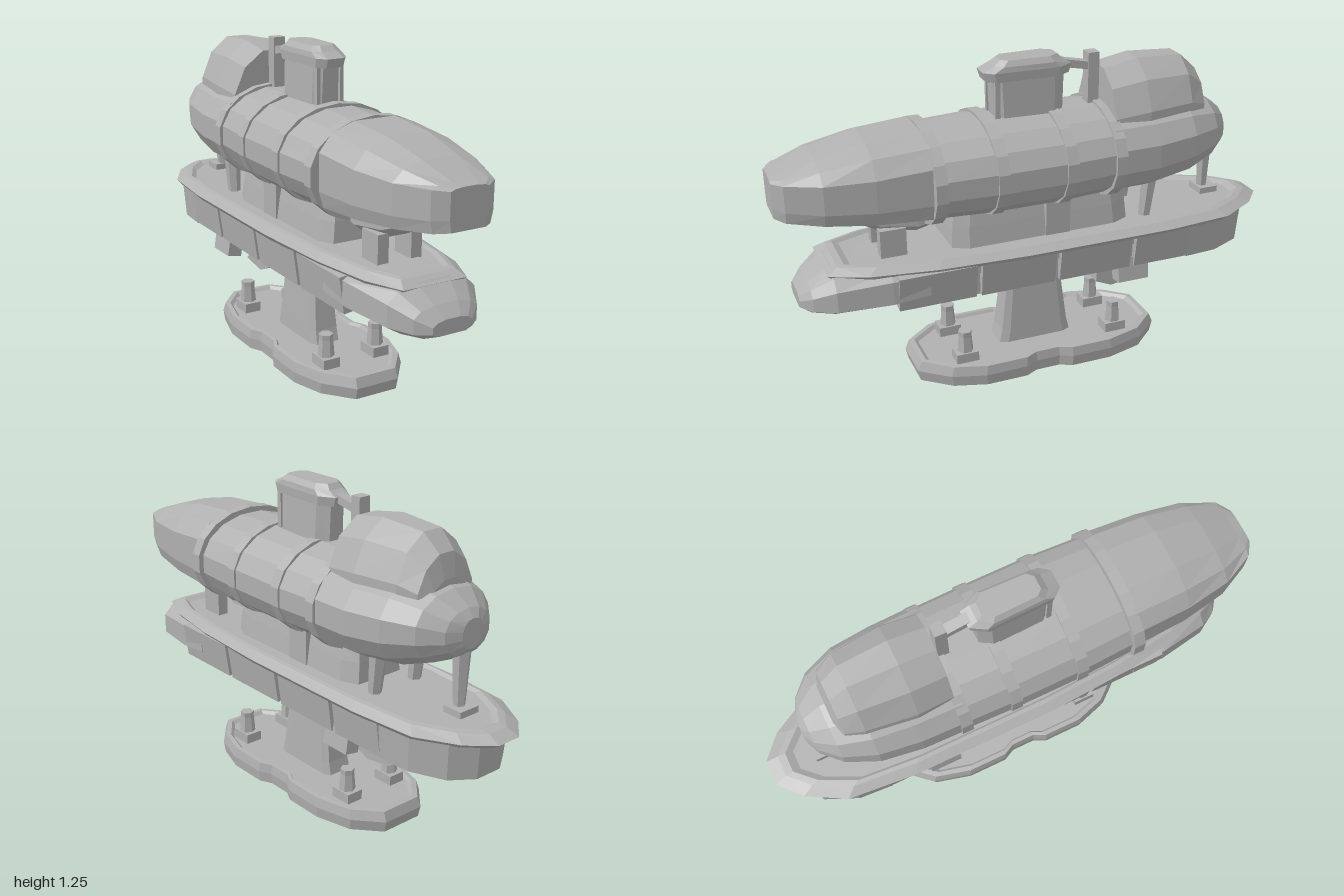
import * as THREE from 'three';

const grey = new THREE.MeshStandardMaterial({ color: 0xb0b0b0, flatShading: true });
grey.name = 'plain grey';

// Skin a series of equal-length rings and close both ends
function loft(rings) {
  const pos = [];
  const n = rings[0].length;
  const tri = (...pts) => pts.forEach((p) => pos.push(...p));
  const centre = (r) => [0, 1, 2].map((k) => r.reduce((s, p) => s + p[k], 0) / n);
  const first = rings[0], last = rings[rings.length - 1];
  for (let j = 0; j < n; j++) {
    const k = (j + 1) % n;
    for (let i = 0; i + 1 < rings.length; i++) {
      const a = rings[i], b = rings[i + 1];
      tri(a[j], b[j], b[k]);
      tri(a[j], b[k], a[k]);
    }
    tri(centre(first), first[j], first[k]);
    tri(centre(last), last[k], last[j]);
  }
  const g = new THREE.BufferGeometry();
  g.setAttribute('position', new THREE.Float32BufferAttribute(pos, 3));
  g.computeVertexNormals();
  return g;
}

// Rounded cross-sections [z, half width, bottom, top], front to back
function hull(sections, sides = 14, power = 2.2) {
  return loft(sections.map(([z, w, y0, y1]) =>
    Array.from({ length: sides }, (_, i) => {
      const a = ((i + 0.5) / sides) * Math.PI * 2;
      const c = Math.cos(a), s = Math.sin(a);
      const f = (v) => Math.sign(v) * Math.abs(v) ** (2 / power);
      return [w * f(c), (y0 + y1) / 2 + ((y1 - y0) / 2) * f(s), z];
    })));
}

// Slab-sided cross-sections [z, half width, bottom, wall top, roof top], front to back
function slabHull(sections, bottomScale) {
  return loft(sections.map(([z, w, y0, wall, top]) => {
    const half = [
      [w * bottomScale, y0], [w, y0 + (wall - y0) * 0.3], [w, wall],
      [w * 0.78, wall + (top - wall) * 0.65], [w * 0.38, top]];
    return [...half.map(([x, y]) => [x, y, z]), ...half.reverse().map(([x, y]) => [-x, y, z])];
  }));
}

// Mirrored plan outline [z, half width] stacked at levels [y, x scale, z scale], top to bottom
function stack(outline, levels) {
  const plan = [...outline.map(([z, w]) => [w, z]), ...outline.map(([z, w]) => [-w, z]).reverse()];
  return loft(levels.map(([y, sx, sz = sx]) => plan.map(([x, z]) => [x * sx, y, z * sz])));
}

export function createModel() {
  const model = new THREE.Group();
  model.name = 'submarineOnStand';
  const add = (name, geometry, x = 0, y = 0, z = 0) => {
    const m = new THREE.Mesh(geometry, grey);
    m.name = name;
    m.position.set(x, y, z);
    model.add(m);
    return m;
  };
  const box = (name, w, h, d, x, y, z) => add(name, new THREE.BoxGeometry(w, h, d), x, y, z);

  // Upper vessel: slab-sided nose, round middle, bulbous tail
  add('nose', slabHull([
    [1.0, 0.075, 0.79, 0.925, 0.935], [0.965, 0.125, 0.785, 0.93, 0.945], [0.84, 0.185, 0.775, 0.93, 0.99],
    [0.66, 0.215, 0.76, 0.935, 1.03], [0.45, 0.225, 0.75, 0.95, 1.045]], 0.92));
  add('neck', hull([[0.47, 0.2, 0.74, 1.01], [0.38, 0.21, 0.71, 1.02]]));
  add('midBody', hull([
    [0.41, 0.245, 0.69, 1.035], [0.2, 0.255, 0.68, 1.045],
    [-0.08, 0.255, 0.68, 1.045], [-0.28, 0.25, 0.69, 1.045]], 16, 2.1));
  add('tailBody', hull([
    [-0.26, 0.255, 0.69, 1.05], [-0.44, 0.25, 0.69, 1.05], [-0.6, 0.23, 0.715, 1.05],
    [-0.72, 0.18, 0.76, 1.02], [-0.79, 0.11, 0.8, 0.97], [-0.815, 0.05, 0.83, 0.94]]));
  add('tailHump', hull([
    [-0.28, 0.18, 0.72, 1.19], [-0.42, 0.19, 0.72, 1.215], [-0.61, 0.165, 0.75, 1.205],
    [-0.68, 0.135, 0.8, 1.14], [-0.7, 0.1, 0.84, 1.05]], 12, 2));

  // Bands around the hull
  for (const z of [0.435, 0.2, -0.07, -0.27])
    add('hullBand', hull([[z + 0.022, 0.262, 0.672, 1.055], [z - 0.022, 0.262, 0.672, 1.055]], 18, 2.1));

  // Conning tower
  const towerPlan = [[0.17, 0.03], [0.14, 0.055], [-0.08, 0.06], [-0.13, 0.03]];
  add('tower', stack(towerPlan, [[1.2, 1, 0.95], [1.02, 1.1, 0.9]]));
  add('towerCap', stack(towerPlan, [[1.255, 0.85, 0.75], [1.235, 1.1, 0.9], [1.215, 1.15, 1.17], [1.18, 1.1, 1.1]]));
  for (const s of [-1, 1]) box('towerRail', 0.015, 0.16, 0.02, s * 0.05, 1.12, 0.15);
  box('rearMast', 0.05, 0.2, 0.045, 0, 1.14, -0.25);
  const brace = box('mastBrace', 0.04, 0.03, 0.15, 0, 1.2, -0.18);
  brace.rotation.x = -0.2;

  // Supports between vessel and deck
  add('cradle', stack([[0.36, 0.1], [0.3, 0.13], [-0.3, 0.13], [-0.37, 0.1]],
    [[0.72, 0.85, 0.95], [0.65, 0.95, 0.98], [0.56, 1.05, 1.0]]));
  add('noseKeel', hull([
    [0.78, 0.04, 0.74, 0.79], [0.62, 0.08, 0.66, 0.8], [0.48, 0.1, 0.64, 0.8], [0.4, 0.1, 0.66, 0.8]], 8, 3));
  box('sideSaddle', 0.28, 0.16, 0.1, 0, 0.65, -0.06);
  for (const s of [-1, 1]) {
    box('frontPost', 0.045, 0.12, 0.1, s * 0.07, 0.62, 0.58);
    const leg = add('rearPost', new THREE.CylinderGeometry(0.035, 0.025, 0.2, 6), s * 0.1, 0.65, -0.46);
    leg.rotation.x = -0.1;
  }
  add('tailLeg', new THREE.CylinderGeometry(0.035, 0.022, 0.23, 6), 0, 0.715, -0.77);
  box('tailFoot', 0.09, 0.025, 0.08, 0, 0.595, -0.78);

  // Boat-shaped deck with sloping flange, angular bow and solid stern
  add('deck', stack([
    [0.84, 0.13], [0.7, 0.19], [0.45, 0.23], [0.1, 0.25], [-0.5, 0.25],
    [-0.77, 0.225], [-0.92, 0.14], [-1.0, 0.05]],
  [[0.57, 0.76, 0.89], [0.582, 0.8, 0.92], [0.578, 0.86, 0.95], [0.556, 1], [0.535, 0.93, 0.97]]));
  add('bow', slabHull([
    [0.94, 0.08, 0.415, 0.45, 0.47], [0.9, 0.13, 0.4, 0.475, 0.51], [0.82, 0.18, 0.395, 0.51, 0.568],
    [0.62, 0.215, 0.4, 0.53, 0.572], [0.48, 0.22, 0.42, 0.53, 0.56]], 0.68));
  add('stern', stack([[-0.6, 0.22], [-0.74, 0.21], [-0.87, 0.15], [-0.93, 0.06]],
    [[0.55, 1], [0.4, 0.95, 0.99]]));

  // Open underside: side panels, keel and cross ribs
  box('underFloor', 0.4, 0.05, 1.2, 0, 0.52, -0.03);
  box('keel', 0.12, 0.12, 1.2, 0, 0.465, -0.03);
  for (const s of [-1, 1]) {
    for (const [z, d] of [[0.45, 0.3], [0.13, 0.3], [-0.19, 0.3], [-0.48, 0.24]]) {
      const panel = box('sidePanel', 0.04, 0.14, d, s * 0.198, 0.475, z);
      panel.rotation.z = -s * 0.14;
    }
    const nozzle = box('sideNozzle', 0.06, 0.1, 0.13, s * 0.175, 0.385, -0.36);
    nozzle.rotation.z = s * 0.15;
    box('underBracket', 0.05, 0.05, 0.14, s * 0.12, 0.4, 0.27);
  }
  for (const z of [0.29, -0.03, -0.35, -0.57]) box('crossRib', 0.38, 0.08, 0.04, 0, 0.45, z);
  const fin = new THREE.Shape([[0.29, 0.42], [0.28, 0.26], [0.35, 0.23], [0.47, 0.25], [0.42, 0.3], [0.44, 0.42]]
    .map(([x, y]) => new THREE.Vector2(x, y)));
  const finGeometry = new THREE.ExtrudeGeometry(fin, { depth: 0.07, bevelEnabled: false });
  add('lowerFin', finGeometry.rotateY(Math.PI / 2).translate(-0.035, 0, 0));

  // Pedestal and waisted base
  add('pedestal', stack([[0.14, 0.05], [0.11, 0.065], [-0.11, 0.065], [-0.14, 0.05]],
    [[0.43, 0.75, 0.85], [0.34, 0.75, 0.82], [0.13, 0.95, 1.0], [0.07, 1, 1.1]]));
  add('base', stack([
    [0.51, 0.09], [0.4, 0.18], [0.27, 0.22], [0.1, 0.22], [0.05, 0.195],
    [-0.05, 0.195], [-0.1, 0.22], [-0.27, 0.22], [-0.42, 0.18], [-0.52, 0.09]],
  [[0.078, 0.85, 0.9], [0.09, 0.89, 0.93], [0.088, 0.97], [0.05, 1], [0.005, 0.98]]));
  for (const x of [-0.11, 0.11]) for (const z of [-0.32, 0.32]) {
    box('pegFoot', 0.07, 0.045, 0.09, x, 0.095, z);
    add('peg', new THREE.CylinderGeometry(0.026, 0.034, 0.09, 6), x, 0.145, z);
    add('pegHead', new THREE.CylinderGeometry(0.028, 0.026, 0.03, 6), x, 0.19, z);
  }
  return model;
}
